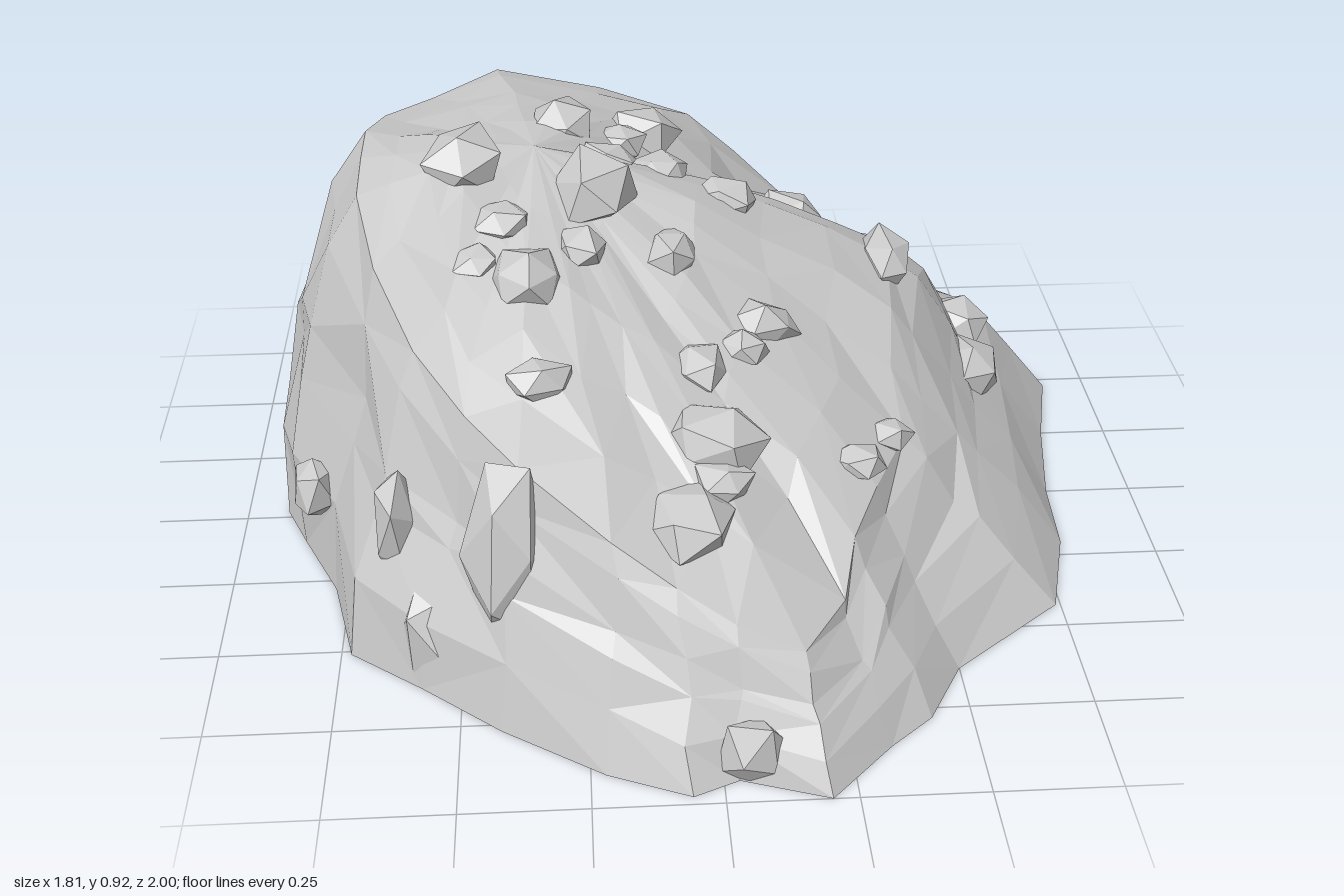
import * as THREE from 'three';

const material = new THREE.MeshStandardMaterial({ color: 0xcccccc, flatShading: true });

// repeatable noise in -1..1 from a position
function noise(a, b, c) {
  const s = Math.sin(a * 127.1 + b * 311.7 + c * 74.7) * 43758.5453;
  return (s - Math.floor(s)) * 2 - 1;
}

// footprint outline: x, z
const base = [
  [.81, 0], [.8, .2], [.74, .43], [.5, .63], [.42, .78], [.33, .86], [.2, 1],
  [.03, .94], [-.06, .98], [-.22, .91], [-.42, .77], [-.58, .63], [-.73, .51], [-.78, .28],
  [-.86, .1], [-.91, -.02], [-.9, -.17], [-.81, -.46], [-.69, -.63], [-.45, -.83], [-.2, -.94],
  [-.05, -.96], [.12, -1], [.38, -1], [.62, -.87], [.8, -.68], [.9, -.47], [.85, -.25],
];
// upper edge of the walls: x, y, z
const rim = [
  [.43, .49, 0], [.41, .43, .15], [.42, .35, .3], [.34, .34, .47], [.28, .31, .6], [.25, .24, .71], [.16, .22, .84],
  [.03, .28, .83], [-.08, .34, .79], [-.2, .42, .75], [-.37, .52, .64], [-.47, .57, .53], [-.57, .65, .41], [-.65, .75, .25],
  [-.69, .83, .08], [-.69, .85, -.06], [-.69, .85, -.2], [-.66, .82, -.35], [-.56, .79, -.52], [-.42, .79, -.68], [-.18, .73, -.7],
  [.03, .66, -.69], [.14, .57, -.67], [.27, .45, -.64], [.41, .36, -.57], [.5, .37, -.47], [.5, .45, -.36], [.45, .51, -.2],
];
const peak = [-.33, .85, -.1];

// wall steps, with the outward swell at the back and on the left side
const wall = [[0, 0, 0], [.28, .005, .03], [.5, .045, .055], [.64, .0, .05], [.86, .03, .03], [1, 0, 0]];
const crown = [.18, .36, .55, .77];

function createBody() {
  const pos = [], index = [];
  const n = base.length, rows = wall.length + crown.length;
  for (let i = 0; i < n; i++) {
    const [bx, bz] = base[i], r = rim[i];
    const len = Math.hypot(bx, bz), nx = bx / len, nz = bz / len;
    const leftSide = bz < .2 ? Math.max(0, -nx) : 0;
    const hollow = .055 * Math.exp(-(((i - 20) / 1.8) ** 2));
    wall.forEach(([t, back, left], k) => {
      const swell = Math.max(0, -nz) * back + leftSide * left + (k === 1 ? .012 : 0) - (k === 3 ? hollow : 0);
      const j = k > 0 && k < wall.length - 1 ? .008 + .016 * r[1] : 0;
      pos.push(
        bx + (r[0] - bx) * t + nx * swell + j * noise(i, k, 1),
        r[1] * t + j * noise(i, k, 2),
        bz + (r[2] - bz) * t + nz * swell + j * noise(i, k, 3));
    });
    crown.forEach((t, k) => {
      const j = .03 * (1 - t);
      const x = r[0] + (peak[0] - r[0]) * t + j * noise(i, k, 4);
      const z = r[2] + (peak[2] - r[2]) * t + j * noise(i, k, 6);
      const lumps = .012 * Math.sin(13 * x + 2) * Math.cos(12 * z) + .008 * (1 - t) * noise(i, k, 5);
      const arch = (.008 + .075 * (peak[1] - r[1])) * Math.sin(Math.PI * t);
      pos.push(x, r[1] + (peak[1] - r[1]) * t + arch + lumps, z);
    });
  }
  const top = n * rows, bottom = top + 1;
  pos.push(...peak, 0, 0, 0);
  for (let i = 0; i < n; i++) {
    const a = i * rows, c = ((i + 1) % n) * rows;
    for (let k = 0; k < rows - 1; k++) {
      if (noise(i, k, 7) > 0) index.push(a + k, a + k + 1, c + k, c + k, a + k + 1, c + k + 1);
      else index.push(a + k, a + k + 1, c + k + 1, a + k, c + k + 1, c + k);
    }
    index.push(a + rows - 1, top, c + rows - 1, bottom, a, c);
  }
  const g = new THREE.BufferGeometry();
  g.setAttribute('position', new THREE.Float32BufferAttribute(pos, 3));
  g.setIndex(index);
  g.computeVertexNormals();
  const mesh = new THREE.Mesh(g, material);
  mesh.name = 'moundBody';
  return mesh;
}

// angular lump: a roughened icosahedron
function createStone(x, y, z, rx, ry, rz, seed) {
  const g = new THREE.IcosahedronGeometry(1, 0);
  const p = g.attributes.position, v = new THREE.Vector3();
  g.rotateY(seed * 1.7).rotateX(seed * .9);
  for (let i = 0; i < p.count; i++) {
    v.fromBufferAttribute(p, i);
    const q = v.clone().multiplyScalar(100).round();
    v.multiplyScalar(1.05 + .2 * noise(q.x, q.y, q.z + seed));
    p.setXYZ(i, x + v.x * rx, Math.max(0.002, y + v.y * ry), z + v.z * rz);
  }
  g.computeVertexNormals();
  return new THREE.Mesh(g, material);
}

// stones resting on the slope: x, z, half width, half depth
const stones = [
  [-.48, -.04, .08, .11], [-.21, -.03, .09, .12], [-.27, -.27, .07, .09], [-.1, -.42, .09, .08],
  [-.15, -.31, .07, .06], [.08, -.15, .08, .07], [.24, -.38, .09, .08], [.44, -.2, .06, .1],
  [.64, -.36, .09, .09], [.64, -.17, .08, .1], [.43, -.46, .06, .06], [-.05, .09, .06, .09],
  [-.35, .25, .08, .08], [-.33, .46, .07, .05], [-.01, .34, .06, .07], [.13, .19, .08, .06],
  [0, .5, .11, .09], [-.05, .66, .09, .09], [.3, .43, .06, .05], [.38, .31, .05, .05],
  [-.4, .1, .06, .06], [-.24, .14, .06, .07], [-.06, -.2, .06, .07], [-.18, -.18, .07, .06],
  [.08, .27, .06, .05], [.02, .58, .06, .06], [-.45, .2, .05, .05],
];
// crags on the walls: x, y, z, radii
const crags = [
  [-.81, .22, .21, .05, .07, .06], [-.39, .33, .65, .08, .2, .07], [-.55, .1, .58, .07, .12, .06],
  [.06, .04, .92, .07, .09, .05], [-.08, .6, -.74, .08, .06, .05], [-.62, .3, .49, .05, .14, .05],
];

export function createModel() {
  const model = new THREE.Group();
  model.name = 'rockMound';
  const body = createBody();
  model.add(body);

  // each stone is dropped onto the slope and partly sunk in
  const ray = new THREE.Raycaster();
  const down = new THREE.Vector3(0, -1, 0);
  const loose = new THREE.Group();
  loose.name = 'stones';
  stones.forEach(([x, z, rx, rz], i) => {
    ray.set(new THREE.Vector3(x, 3, z), down);
    const ground = ray.intersectObject(body)[0].point.y;
    const stone = createStone(x, ground - .01, z, rx, (rx + rz) * .35, rz, i + 1);
    stone.name = 'stone' + (i + 1);
    loose.add(stone);
  });
  model.add(loose);

  const outcrops = new THREE.Group();
  outcrops.name = 'wallCrags';
  crags.forEach((c, i) => {
    const crag = createStone(...c, i + 40);
    crag.name = 'crag' + (i + 1);
    outcrops.add(crag);
  });
  model.add(outcrops);
  return model;
}
